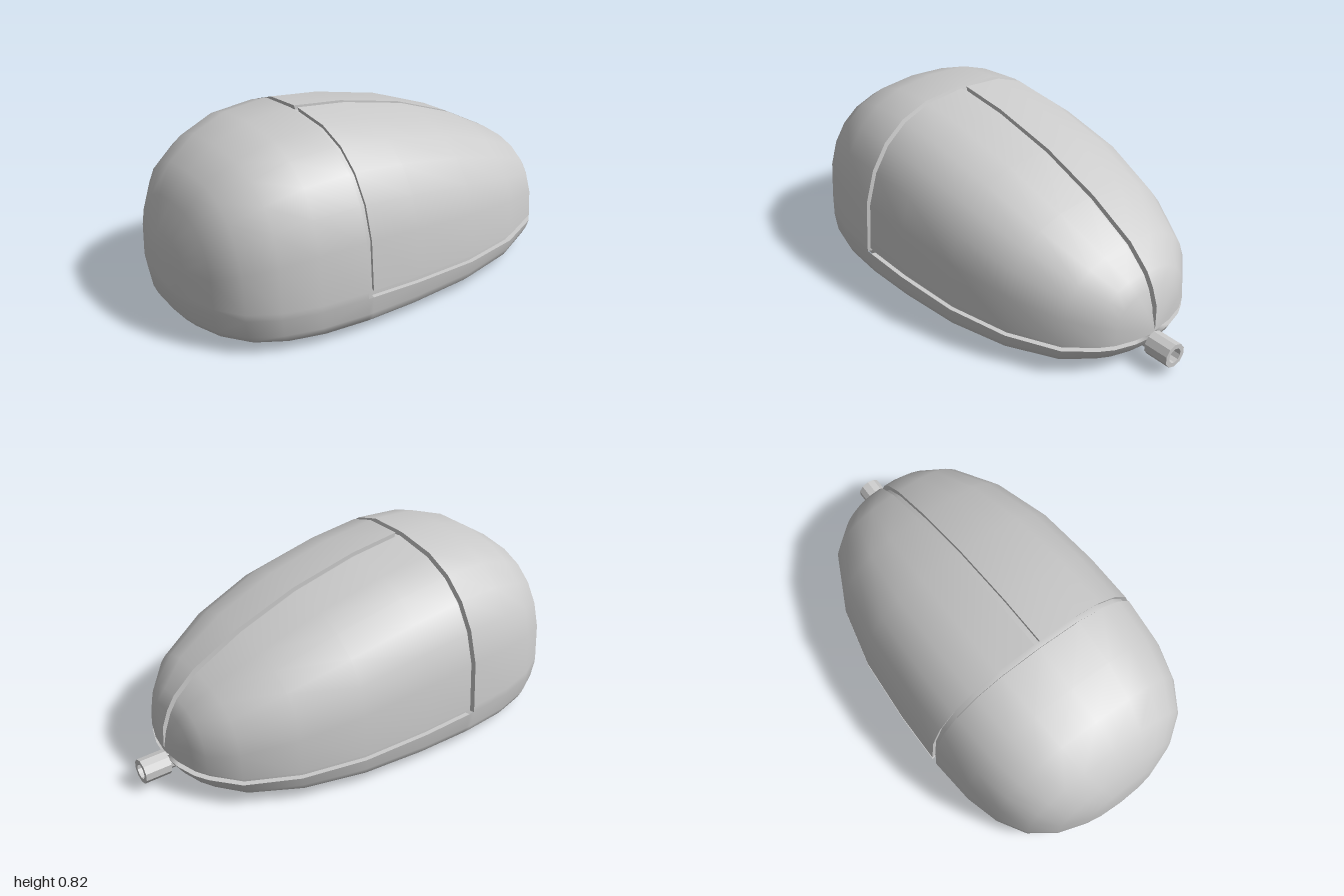
import * as THREE from 'three';
import { mergeGeometries, mergeVertices } from 'three/addons/utils/BufferGeometryUtils.js';

// Stations from front to back: z, half width, top height (0 = closes on the waist line)
const STATIONS = [
  [0.995, 0, 0], [0.99, 0.11, 0.33], [0.978, 0.18, 0.41], [0.935, 0.31, 0.55],
  [0.855, 0.42, 0.665], [0.73, 0.495, 0.75], [0.57, 0.54, 0.81], [0.36, 0.56, 0.825],
  [0.335, 0.56, 0.824], [0.1, 0.56, 0.795], [-0.21, 0.54, 0.722], [-0.49, 0.475, 0.615],
  [-0.71, 0.365, 0.495], [-0.81, 0.25, 0.4], [-0.845, 0.19, 0.34], [-0.873, 0.1, 0.26], [-0.885, 0, 0],
];
const PALM = STATIONS.slice(0, 8);
const BACK = STATIONS.slice(8);
const CENTRE_Z = 0.055;
const POWER = 2.6;
const GROOVE = 0.03;
const DEPTH = 0.02;
const HALF_GAP = 0.014;

// Height of the waist line, which falls gently toward the back
const waist = (z) => 0.2 - 0.037 * Math.max(0, 0.36 - z);

// Point on the upper cross-section; a runs from 0 (left) over the top to PI (right)
function section([z, w, h], a, inset = 0, drop = 0) {
  const y0 = waist(z);
  const c = Math.cos(a);
  const hw = Math.max(0, w - inset);
  const hh = Math.max(0, h - y0 - inset);
  return new THREE.Vector3(
    hw * Math.sign(c) * Math.abs(c) ** (2 / POWER),
    y0 - drop + hh * Math.max(0, Math.sin(a)) ** (2 / POWER),
    CENTRE_Z + (z - CENTRE_Z) * (1 - inset));
}

// Surface through rows of points
function grid(rows) {
  const cols = rows[0].length;
  const index = [];
  for (let i = 0; i < rows.length - 1; i++) {
    for (let j = 0; j < cols - 1; j++) {
      const p = i * cols + j;
      const q = p + cols;
      index.push(p, q, p + 1, q, q + 1, p + 1);
    }
  }
  const g = new THREE.BufferGeometry().setFromPoints(rows.flat());
  g.setIndex(index);
  return g;
}

function smooth(...geometries) {
  const g = mergeVertices(mergeGeometries(geometries), 1e-4);
  g.computeVertexNormals();
  return g;
}

const span = (from, to, n) => Array.from({ length: n + 1 }, (_, i) => from + (to - from) * i / n);

// Arch over the top, with a short straight drop below the waist on both sides
function arch(station, inset, drop) {
  return [
    section(station, 0, inset, drop),
    ...span(0, Math.PI, 12).map((a) => section(station, a, inset)),
    section(station, Math.PI, inset, drop),
  ];
}

// Closed horizontal outline of the shell, shrunk about its centre
const LOOP = [
  ...STATIONS.map(([z, w]) => [w, z]),
  ...STATIONS.slice(0, -1).reverse().map(([z, w]) => [-w, z]),
];
const ring = (scale, height) => LOOP.map(([x, z]) =>
  new THREE.Vector3(x * scale, height(z), CENTRE_Z + (z - CENTRE_Z) * scale));

export function createModel() {
  const model = new THREE.Group();
  const grey = new THREE.MeshStandardMaterial({ color: 0xcccccc });
  const thin = new THREE.MeshStandardMaterial({ color: 0xcccccc, side: THREE.DoubleSide });
  const flat = new THREE.MeshStandardMaterial({ color: 0xcccccc, flatShading: true });
  const add = (name, geometry, material = grey, parent = model) => {
    const mesh = new THREE.Mesh(geometry, material);
    mesh.name = name;
    parent.add(mesh);
    return mesh;
  };

  // Palm rest and lower side wall, one continuous shell
  const lip = (z) => waist(z) - GROOVE;
  const rise = (z) => 0.014 * Math.max(0, 0.2 - z);
  const wall = grid([
    ring(1, lip),
    ring(0.985, (z) => 0.09 + rise(z) * 0.5),
    ring(0.965, (z) => 0.06 + rise(z) * 0.7),
    ring(0.935, (z) => 0.042 + rise(z)),
  ]);
  const palm = grid(PALM.map((s) => arch(s, 0, GROOVE)));
  add('shell', smooth(palm, wall));

  // Slightly domed underside
  add('base', smooth(grid([
    ring(0.935, (z) => 0.042 + rise(z)),
    ring(0.82, (z) => 0.02 + rise(z)),
    ring(0.4, (z) => 0.007 + rise(z)),
    ring(0, () => 0.004),
  ])));

  // Inset core forming the floor of the grooves
  add('grooveFloor', smooth(grid(STATIONS.slice(6).map((s) => arch(s, DEPTH, GROOVE + 0.02)))));

  // Groove walls on the shell side
  const rim = (inset) => BACK.map((s) => section(s, 0, inset, GROOVE));
  const rimRight = (inset) => BACK.map((s) => section(s, Math.PI, inset, GROOVE));
  const frontEdge = PALM[PALM.length - 1];
  add('grooveWall', smooth(
    grid([arch(frontEdge, 0, GROOVE), arch(frontEdge, DEPTH, GROOVE)]),
    grid([rim(0), rim(DEPTH)]),
    grid([rimRight(0), rimRight(DEPTH)]),
  ), thin);

  // Two buttons separated by the centre groove
  for (const side of ['left', 'right']) {
    const button = new THREE.Group();
    button.name = `${side}Button`;
    const rows = (inset) => BACK.map((s) => {
      const edge = s[1] > HALF_GAP ? Math.acos((HALF_GAP / s[1]) ** (POWER / 2)) : 0;
      const angles = side === 'left' ? span(0, edge, 6) : span(Math.PI - edge, Math.PI, 6);
      return angles.map((a) => section(s, a, inset));
    });
    const outer = rows(0);
    const inner = rows(DEPTH);
    add('buttonTop', smooth(grid(outer)), grey, button);
    add('buttonFrontEdge', smooth(grid([outer[0], inner[0]])), thin, button);
    for (const k of [0, 6]) {
      const along = (r) => r.map((row) => row[k]);
      add('buttonSideEdge', smooth(grid([along(outer), along(inner)])), thin, button);
    }
    model.add(button);
  }

  // Hollow cable collar with the cable stub inside
  const profile = [[0.034, 0], [0.055, 0], [0.055, 0.12], [0.034, 0.12], [0.034, 0]];
  const collar = add('cableCollar',
    new THREE.LatheGeometry(profile.map(([r, y]) => new THREE.Vector2(r, y)), 10), flat);
  collar.rotation.x = -Math.PI / 2;
  collar.position.set(0, 0.09, -0.88);
  const stub = add('cableStub', new THREE.CylinderGeometry(0.036, 0.036, 0.15, 10), flat);
  stub.rotation.x = -Math.PI / 2;
  stub.position.set(0, 0.09, -0.875);

  return model;
}
